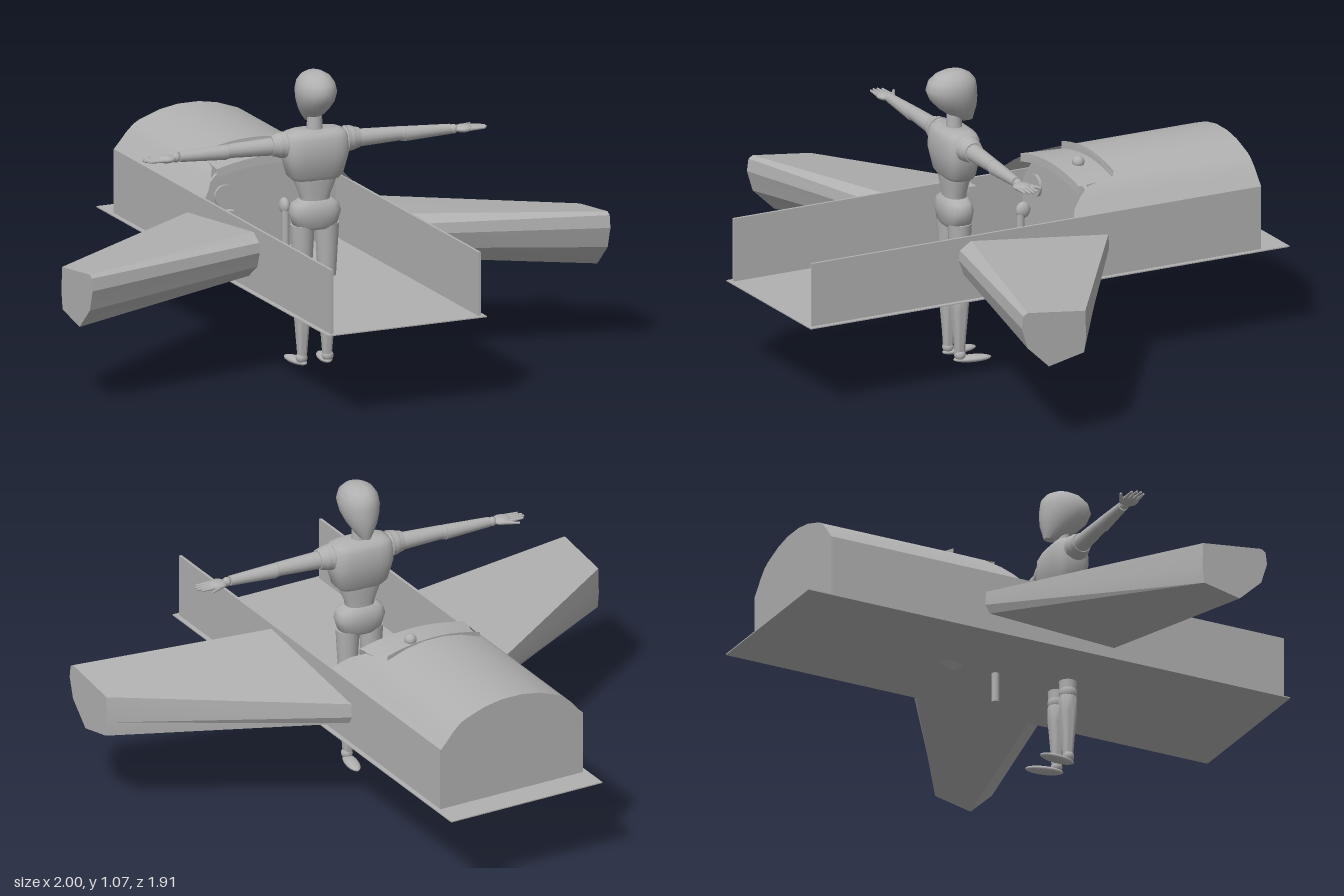
import * as THREE from 'three';
import { toCreasedNormals } from 'three/addons/utils/BufferGeometryUtils.js';

const grey = new THREE.MeshStandardMaterial({ color: 0xb0b0b0, side: THREE.DoubleSide });
grey.name = 'plain grey';

function add(parent, name, geometry, x = 0, y = 0, z = 0) {
  const mesh = new THREE.Mesh(geometry, grey);
  mesh.name = name;
  mesh.position.set(x, y, z);
  parent.add(mesh);
  return mesh;
}

// Skin a stack of rings; closed rings get end caps, open rows make a sheet
function loft(rings, crease = 0.6, closed = true) {
  const n = rings[0].length, pos = [];
  const tri = (...pts) => pts.forEach((p) => pos.push(...p));
  for (let i = 0; i < rings.length - 1; i++) {
    for (let j = 0; j < (closed ? n : n - 1); j++) {
      const k = (j + 1) % n;
      const [a, b, c, d] = [rings[i][j], rings[i][k], rings[i + 1][k], rings[i + 1][j]];
      tri(a, b, c);
      tri(a, c, d);
    }
  }
  if (closed) {
    const first = rings[0], last = rings[rings.length - 1];
    for (let j = 1; j < n - 1; j++) {
      tri(first[0], first[j + 1], first[j]);
      tri(last[0], last[j], last[j + 1]);
    }
  }
  const g = new THREE.BufferGeometry();
  g.setAttribute('position', new THREE.Float32BufferAttribute(pos, 3));
  return toCreasedNormals(g, crease);
}

// Upright body from [y, half width, half depth, z centre] rows; power < 1 squares it off
function body(rows, power = 1, n = 20) {
  const p = (v) => Math.sign(v) * Math.abs(v) ** power;
  return loft(rows.map(([y, rx, rz, zc = 0]) => Array.from({ length: n }, (_, j) => {
    const t = (j / n) * Math.PI * 2;
    return [p(Math.sin(t)) * rx, y, zc + p(Math.cos(t)) * rz];
  })), 0.8);
}

// Half of the rounded deck, from wall top to centre line: [x, y, front edge z]
const deckHalf = [[0.287, 0.555, -0.11], [0.265, 0.58, -0.125], [0.24, 0.61, -0.16], [0.212, 0.637, -0.21],
  [0.19, 0.65, -0.32], [0.11, 0.678, -0.32], [0.04, 0.69, -0.32]];
const deck = [...deckHalf, ...deckHalf.map(([x, y, z]) => [-x, y, z]).reverse()];

function archShape(scaleX, top, base) {
  const s = new THREE.Shape();
  s.moveTo(0.287 * scaleX, base);
  deck.forEach(([x, y]) => s.lineTo(x * scaleX, y + top));
  s.lineTo(-0.287 * scaleX, base);
  return s;
}

function buildHull(g) {
  add(g, 'floor', new THREE.BoxGeometry(0.614, 0.004, 1.91), 0, 0.322, -0.005);
  for (const s of [-1, 1]) {
    add(g, 'sideWall', new THREE.BoxGeometry(0.01, 0.235, 1.79), s * 0.285, 0.4375, 0.04);
  }
  add(g, 'rearDeck', loft([deck.map(([x, y]) => [x, y, -0.855]), deck], 0.5, false));
  add(g, 'rearWall', new THREE.ExtrudeGeometry(archShape(1, 0, 0.322), { depth: 0.008, bevelEnabled: false }), 0, 0, -0.857);

  // Instrument panel and its raised cowl
  add(g, 'instrumentPanel', new THREE.ExtrudeGeometry(archShape(0.93, -0.03, 0.324), { depth: 0.015, bevelEnabled: false }), 0, 0, -0.225);
  const cowlRow = (w, z, drop) => Array.from({ length: 13 }, (_, i) => {
    const u = 1 - i / 6;
    return [u * w, 0.668 - 0.028 * u * u - drop, z];
  });
  add(g, 'panelCowl', loft([cowlRow(0.188, -0.322, 0), cowlRow(0.212, -0.172, 0), cowlRow(0.212, -0.17, 0.03)], 0.5, false));
  add(g, 'deckStep', loft([cowlRow(0.188, -0.322, -0.028), cowlRow(0.188, -0.321, 0)], 0.5, false));
  add(g, 'cowlKnob', new THREE.SphereGeometry(0.022, 16, 12), 0.055, 0.673, -0.255);
  for (const s of [-1, 1]) {
    const dial = add(g, 'dial', new THREE.CylinderGeometry(0.04, 0.04, 0.012, 20), s * 0.165, 0.53, -0.206);
    dial.rotation.x = Math.PI / 2;
  }

  // Control stick, throttle and the fitting below the floor
  add(g, 'controlStick', new THREE.CylinderGeometry(0.014, 0.014, 0.29, 12), 0, 0.355, -0.055);
  add(g, 'stickGrip', new THREE.SphereGeometry(0.02, 14, 10), 0, 0.51, -0.065).scale.set(0.9, 1.5, 1.4);
  add(g, 'throttleLever', new THREE.BoxGeometry(0.05, 0.02, 0.028), -0.257, 0.53, 0.008);
  const fitting = add(g, 'floorFitting', new THREE.ConeGeometry(0.05, 0.03, 8), 0, 0.308, -0.23);
  fitting.rotation.x = Math.PI;
  fitting.scale.x = 0.6;
}

// Swept wings: [z, y] sections at root and tip
function buildWings(g) {
  const root = [[-0.25, 0.475], [0.30, 0.538], [0.345, 0.51], [0.35, 0.475], [0.33, 0.42], [0.26, 0.37], [-0.235, 0.395], [-0.253, 0.425]];
  const tip = [[0.235, 0.477], [0.465, 0.505], [0.482, 0.495], [0.488, 0.45], [0.465, 0.375], [0.38, 0.295], [0.24, 0.325], [0.232, 0.38]];
  const ring = (section, x) => section.map(([z, y]) => [x, y, z]);
  for (const s of [-1, 1]) {
    const rings = [ring(root, s * 0.285), ring(tip, s)];
    add(g, s > 0 ? 'leftWing' : 'rightWing', loft(s > 0 ? rings : rings.reverse(), 0.25));
  }
}

// Jointed standing figure with outstretched arms, facing -z
function buildPilot() {
  const g = new THREE.Group();
  g.name = 'pilot';
  add(g, 'head', body([[0.88, 0.018, 0.026, -0.045], [0.9, 0.034, 0.045, -0.03], [0.93, 0.052, 0.07, -0.013], [0.965, 0.066, 0.088, 0.003],
    [1.0, 0.072, 0.094, 0.011], [1.03, 0.065, 0.087, 0.009], [1.052, 0.05, 0.065, 0.006], [1.065, 0.028, 0.038, 0.004], [1.07, 0.008, 0.01, 0.003]]));
  add(g, 'neck', new THREE.CylinderGeometry(0.026, 0.03, 0.07, 16), 0, 0.87, 0);
  add(g, 'chest', body([[0.68, 0.085, 0.045], [0.695, 0.1, 0.055], [0.77, 0.12, 0.07], [0.83, 0.118, 0.066], [0.85, 0.108, 0.055], [0.86, 0.085, 0.035]], 0.6, 24));
  add(g, 'waist', body([[0.585, 0.05, 0.038], [0.62, 0.055, 0.038], [0.67, 0.075, 0.046], [0.69, 0.078, 0.046]], 0.8));
  add(g, 'pelvis', body([[0.5, 0.06, 0.04], [0.515, 0.08, 0.05], [0.56, 0.094, 0.055], [0.59, 0.085, 0.05], [0.605, 0.06, 0.038]], 0.75));

  for (const s of [-1, 1]) {
    // Tapered arm segment running outward along x
    const segment = (name, x1, x2, r1, r2, y) => {
      const m = add(g, name, new THREE.CylinderGeometry(r2, r1, x2 - x1, 16), s * (x1 + x2) / 2, y, 0);
      m.rotation.z = -s * Math.PI / 2;
    };
    add(g, 'shoulder', new THREE.SphereGeometry(0.045, 16, 12), s * 0.127, 0.81, 0);
    segment('shoulderCap', 0.115, 0.165, 0.048, 0.036, 0.81);
    segment('upperArm', 0.16, 0.325, 0.032, 0.025, 0.808);
    add(g, 'elbow', new THREE.SphereGeometry(0.026, 14, 10), s * 0.33, 0.806, 0);
    segment('forearm', 0.335, 0.51, 0.027, 0.018, 0.805);
    add(g, 'wrist', new THREE.SphereGeometry(0.017, 12, 8), s * 0.522, 0.804, 0);
    add(g, 'palm', new THREE.SphereGeometry(0.034, 14, 10), s * 0.558, 0.803, 0).scale.y = 0.4;
    for (let i = 0; i < 4; i++) {
      const length = i === 0 || i === 3 ? 0.058 : 0.068;
      segment('finger', 0.575, 0.575 + length, 0.007, 0.004, 0.803);
      g.children[g.children.length - 1].position.z = (i - 1.5) * 0.015;
    }
    const thumb = add(g, 'thumb', new THREE.CylinderGeometry(0.004, 0.008, 0.06, 8), s * 0.578, 0.803, -0.038);
    thumb.rotation.set(0, s * 0.5, -s * Math.PI / 2);

    // Leg
    add(g, 'thigh', new THREE.CylinderGeometry(0.043, 0.03, 0.23, 16), s * 0.046, 0.4, 0);
    add(g, 'knee', new THREE.SphereGeometry(0.033, 14, 10), s * 0.047, 0.277, 0);
    add(g, 'shin', body([[0.04, 0.017, 0.019], [0.1, 0.022, 0.023], [0.2, 0.03, 0.032], [0.255, 0.031, 0.033], [0.27, 0.026, 0.028]]), s * 0.047, 0, 0);
    add(g, 'ankle', new THREE.SphereGeometry(0.021, 14, 10), s * 0.049, 0.032, 0);
    const foot = add(g, 'foot', new THREE.SphereGeometry(0.5, 16, 10), s * 0.054, 0.014, -0.045);
    foot.scale.set(0.05, 0.026, 0.14);
    foot.rotation.y = -s * 0.15;
  }
  g.position.set(-0.01, 0, 0.205);
  g.rotation.y = -0.06;
  return g;
}

export function createModel() {
  const model = new THREE.Group();
  model.name = 'cockpitWithPilot';
  buildHull(model);
  buildWings(model);
  model.add(buildPilot());
  return model;
}
